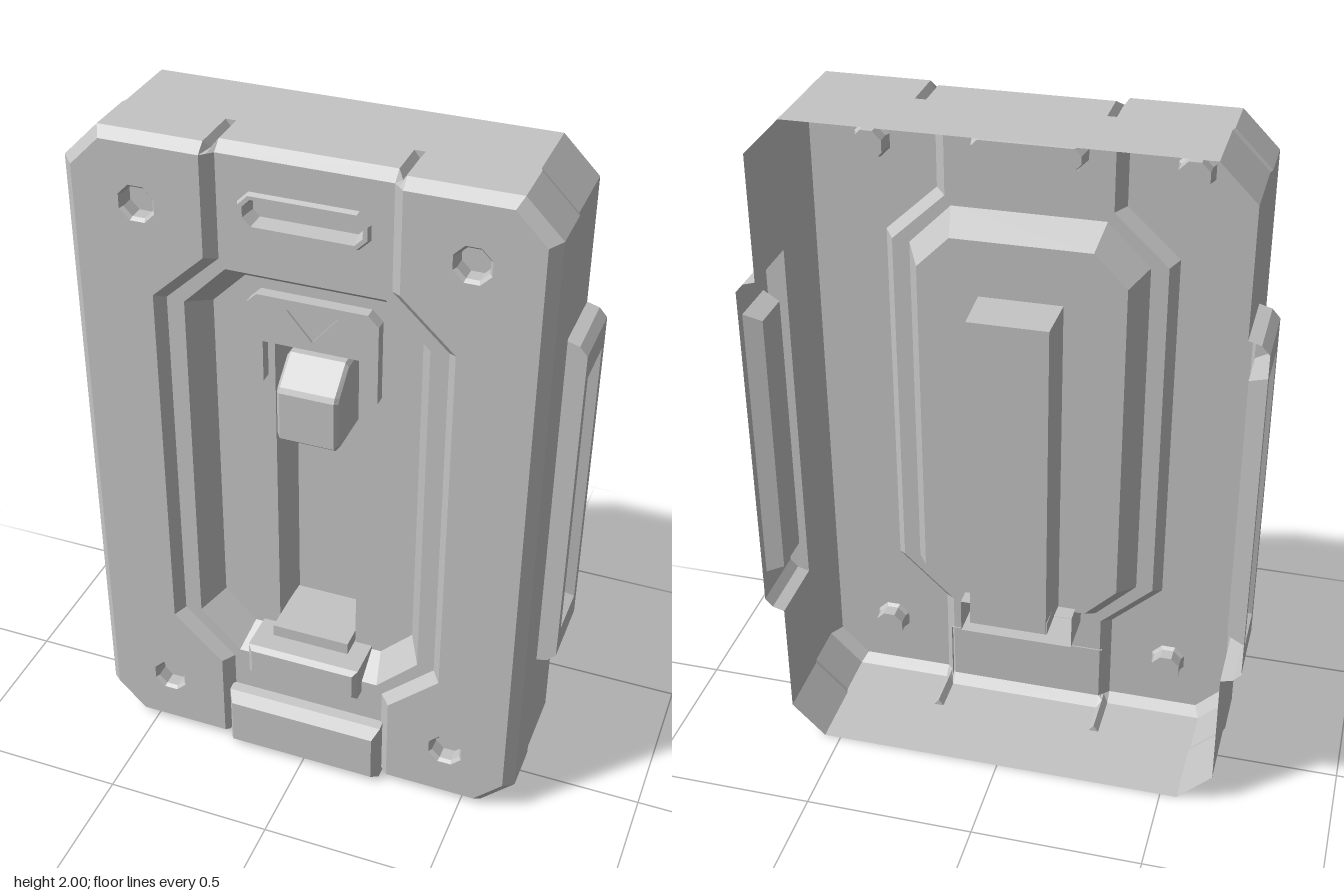
import * as THREE from 'three';

const grey = new THREE.MeshStandardMaterial({ color: 0xc4c4c4, side: THREE.DoubleSide, flatShading: true });
grey.name = 'grey';

const V = (x, y, z) => new THREE.Vector3(x, y, z);

// Faceted skin over a list of equal-length loops; optional flat cap on the last (convex) loop
function skin(loops, { closed = true, cap = false } = {}) {
  const pts = [];
  for (let i = 0; i < loops.length - 1; i++) {
    const a = loops[i], b = loops[i + 1], n = a.length;
    for (let j = 0; j < (closed ? n : n - 1); j++) {
      const k = (j + 1) % n;
      pts.push(a[j], a[k], b[k], a[j], b[k], b[j]);
    }
  }
  const last = loops[loops.length - 1];
  if (cap) for (let j = 1; j < last.length - 1; j++) pts.push(last[0], last[j], last[j + 1]);
  const g = new THREE.BufferGeometry().setFromPoints(pts);
  g.computeVertexNormals();
  return g;
}

// Octagon with chamfered corners, counter-clockwise
function octagon(w, h, c, z, cx = 0, cy = 0) {
  return [[w, h - c], [w - c, h], [c - w, h], [-w, h - c], [-w, c - h], [c - w, -h], [w - c, -h], [w, c - h]]
    .map(([x, y]) => V(cx + x, cy + y, z));
}
const rect = (x0, x1, y0, y1, z) => [V(x1, y0, z), V(x1, y1, z), V(x0, y1, z), V(x0, y0, z)];

// Front outline with a small V notch where the raised side plates meet the centre band
function notchedLoop(w, h, c, zPlate, zBand, notch) {
  const q = [[w, h - c, zPlate], [w - c, h, zPlate], [0.265, h, zPlate],
    [0.25, h - notch, (zPlate + zBand) / 2], [0.235, h, zBand]];
  const turn = (sx, sy) => q.map(([x, y, z]) => V(sx * x, sy * y, z));
  return [...turn(1, 1), ...turn(-1, 1).reverse(), ...turn(-1, -1), ...turn(1, -1).reverse()];
}

// Flat face at depth z with holes
function face(points, holes, z) {
  const s = new THREE.Shape(points.map(p => new THREE.Vector2(p.x, p.y)));
  holes.forEach(h => s.holes.push(new THREE.Path(h.map(p => new THREE.Vector2(p.x, p.y)))));
  return new THREE.ShapeGeometry(s).translate(0, 0, z);
}

// Block with a chamfered front edge
function block(x, y0, y1, zBack, zFront, b) {
  return skin([rect(-x, x, y0, y1, zBack), rect(-x, x, y0, y1, zFront - b),
    rect(b - x, x - b, y0 + b, y1 - b, zFront)], { cap: true });
}

export function createModel() {
  const model = new THREE.Group();
  model.name = 'wallPanel';
  const add = (name, geometry, parent = model) => {
    const m = new THREE.Mesh(geometry, grey);
    m.name = name;
    parent.add(m);
    return m;
  };

  // Open-backed rear wall, cut away behind the two side grips
  const rear = octagon(0.65, 1, 0.1, 0);
  const wall = new THREE.Group();
  wall.name = 'rearWall';
  model.add(wall);
  rear.forEach((a, i) => {
    const b = rear[(i + 1) % 8];
    const piece = (p, q) => add('rearWallSide', skin(
      [[V(p.x, p.y, -0.21), V(q.x, q.y, -0.21)], [V(p.x, p.y, 0), V(q.x, q.y, 0)]], { closed: false }), wall);
    if (Math.abs(a.x - b.x) < 1e-6) {
      const s = Math.sign(a.y);
      piece(a, V(a.x, 0.54 * s, 0));
      piece(V(a.x, -0.54 * s, 0), b);
    } else piece(a, b);
  });

  // Front wall with chamfered rim
  add('frontWall', skin([
    notchedLoop(0.65, 1, 0.1, 0, 0, 0),
    notchedLoop(0.655, 1, 0.1, 0.015, 0.015, 0),
    notchedLoop(0.655, 1, 0.1, 0.015, 0.015, 0.02),
    notchedLoop(0.655, 1, 0.1, 0.155, 0.125, 0.02),
    notchedLoop(0.625, 0.975, 0.085, 0.185, 0.155, 0)]));

  // Raised side plates, each with two screw wells and a sloped step to the band
  const stepTop = [V(0.265, 0.975, 0.185), V(0.265, 0.69, 0.185), V(0.415, 0.55, 0.185),
    V(0.415, -0.55, 0.185), V(0.265, -0.69, 0.185), V(0.265, -0.975, 0.185)];
  const stepLow = [V(0.235, 0.975, 0.155), V(0.235, 0.68, 0.155), V(0.39, 0.535, 0.155),
    V(0.39, -0.535, 0.155), V(0.235, -0.68, 0.155), V(0.235, -0.975, 0.155)];
  const plateEdge = [...stepTop, V(0.54, -0.975, 0), V(0.625, -0.89, 0), V(0.625, 0.89, 0), V(0.54, 0.975, 0)];
  const screw = (r, y, z) => octagon(r, r, r * 0.586, z, 0.445, y);

  for (const side of [1, -1]) {
    const half = new THREE.Group();
    half.name = side > 0 ? 'leftSide' : 'rightSide';
    half.scale.x = side;
    model.add(half);
    add('sidePlate', face(plateEdge, [screw(0.05, 0.81, 0), screw(0.05, -0.81, 0)], 0.185), half);
    add('plateStep', skin([stepTop, stepLow], { closed: false }), half);
    for (const y of [0.81, -0.81])
      add('screwWell', skin([screw(0.05, y, 0.185), screw(0.042, y, 0.175), screw(0.042, y, 0.135)], { cap: true }), half);

    // Side grip: hollow shell open to the back, with a recessed window
    const shell = (x, y) => [V(x, -y, -0.21), V(x, -y, 0), V(x, y, 0), V(x, y, -0.21)];
    const win = (x, y, z0, z1) => [V(x, -y, z0), V(x, -y, z1), V(x, y, z1), V(x, y, z0)];
    add('gripShell', skin([shell(0.65, 0.54), shell(0.685, 0.53), shell(0.707, 0.505)], { closed: false }), half);
    add('gripFrame', skin([shell(0.707, 0.505), win(0.707, 0.425, -0.182, -0.03),
      win(0.655, 0.405, -0.17, -0.045)], { cap: true }), half);
  }

  // Centre band, pierced by the pocket and the indicator slot
  const bandEdge = [...stepLow, ...stepLow.map(p => V(-p.x, p.y, p.z)).reverse()];
  const pocketTop = octagon(0.34, 0.652, 0.122, 0.155);
  const pocketLow = octagon(0.295, 0.595, 0.095, 0.07);
  const slit = (w, h, z) => octagon(w, h, h * 0.6, z, 0, 0.832);
  add('centreBand', face(bandEdge, [pocketTop, slit(0.165, 0.042, 0)], 0.155));
  add('indicatorSlot', skin([slit(0.178, 0.053, 0.155), slit(0.172, 0.047, 0.168),
    slit(0.16, 0.037, 0.168), slit(0.15, 0.03, 0.12)], { cap: true }));

  // Pocket with a deep vertical channel in its floor
  const channel = z => rect(-0.12, 0.12, -0.58, 0.43, z);
  add('pocketSlope', skin([pocketTop, pocketLow]));
  add('pocketFloor', face(pocketLow, [channel(0)], 0.07));
  add('channel', skin([channel(0.07), rect(-0.115, 0.115, -0.58, 0.425, -0.075)], { cap: true }));

  // Arched bracket with a sunken triangle, above the lever
  const arch = [[-0.185, 0.3], [-0.14, 0.3], [-0.14, 0.425], [0.14, 0.425], [0.14, 0.3], [0.185, 0.3],
    [0.185, 0.535], [0.155, 0.565], [-0.155, 0.565], [-0.185, 0.535]];
  const archShape = new THREE.Shape(arch.map(p => new THREE.Vector2(...p)));
  archShape.holes.push(new THREE.Path([[-0.072, 0.535], [0, 0.45], [0.072, 0.535]].map(p => new THREE.Vector2(...p))));
  add('bracket', new THREE.ExtrudeGeometry(archShape, { depth: 0.035, bevelEnabled: false }).translate(0, 0, 0.07));
  add('bracketTriangle', face([V(-0.072, 0.535, 0), V(0, 0.45, 0), V(0.072, 0.535, 0)], [], 0.098));

  // Lever: side profile swept across, sloping back at the top
  const profile = [[-0.07, 0.14], [0.13, 0.14], [0.148, 0.155], [0.148, 0.3], [0.14, 0.315], [0.06, 0.38], [-0.07, 0.38]];
  const lever = (x, inset) => profile.map(([z, y]) =>
    V(x, y + (0.26 - y) * inset, z - (z > 0.1 ? inset * 0.1 : 0)));
  const leverLoops = [lever(-0.088, 0.1), lever(-0.078, 0), lever(0.078, 0), lever(0.088, 0.1)];
  add('lever', skin(leverLoops, { cap: true }));
  add('leverEnd', skin([...leverLoops].reverse().slice(2), { cap: true }));

  // Lower catch and its ledge inside the channel
  add('catch', block(0.172, -0.69, -0.583, 0.02, 0.205, 0.014));
  add('catchLedge', new THREE.BoxGeometry(0.235, 0.04, 0.2).translate(0, -0.565, 0.03));

  // Foot block on the bottom edge
  add('footBlock', skin([rect(-0.242, 0.242, -0.995, -0.79, 0.15), rect(-0.242, 0.242, -0.995, -0.795, 0.185),
    rect(-0.225, 0.225, -0.975, -0.825, 0.213)], { cap: true }));

  model.children.forEach(c => { c.position.y = 1; });
  return model;
}
